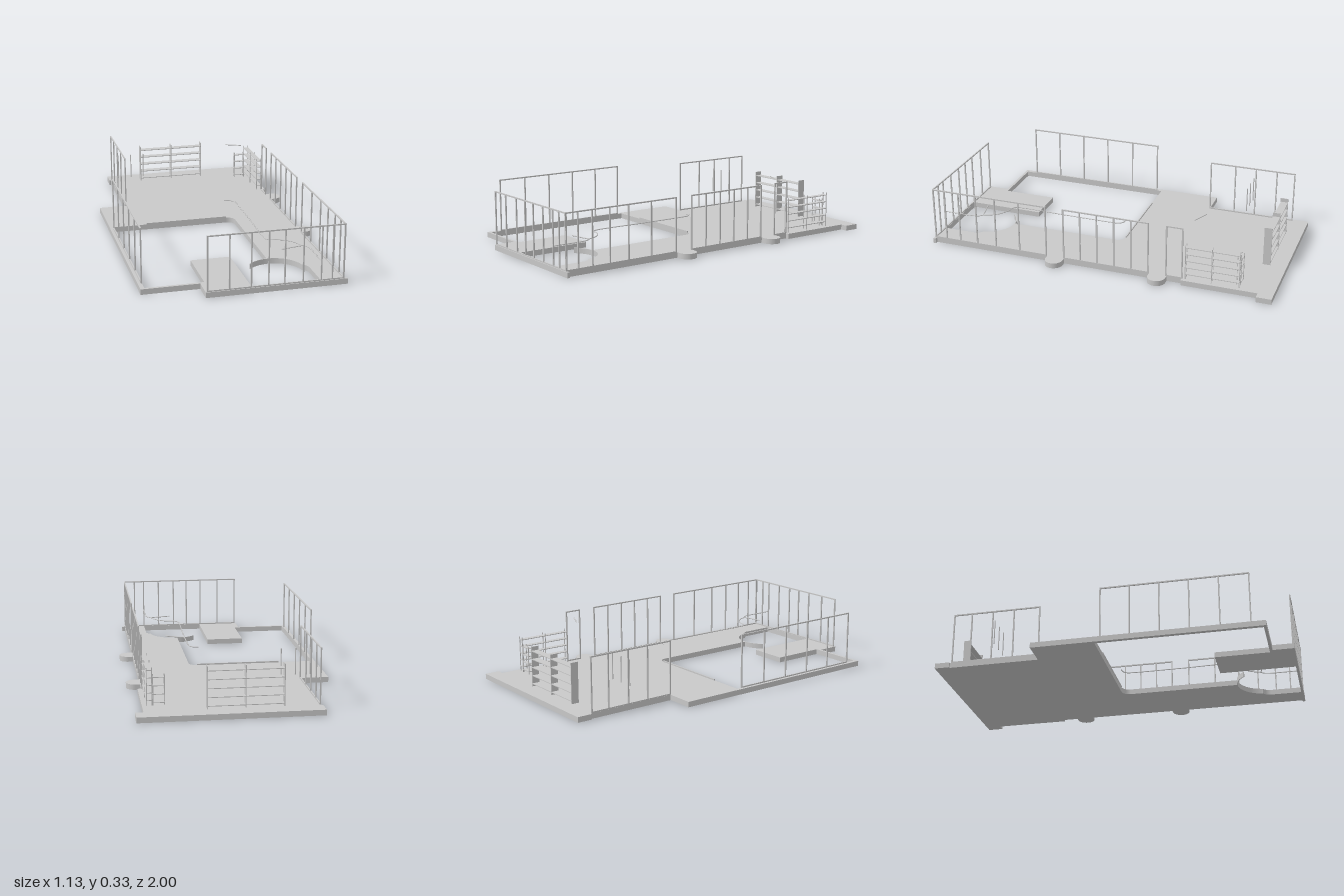
import * as THREE from 'three';

const grey = new THREE.MeshStandardMaterial({ color: 0xc8c8c8, side: THREE.DoubleSide });
grey.name = 'plain grey';
const FLOOR = 0.03, TOP = 0.333, PI = Math.PI;

export function createModel() {
  const model = new THREE.Group();

  const add = (parent, name, geometry) => {
    const mesh = new THREE.Mesh(geometry, grey);
    mesh.name = name;
    parent.add(mesh);
    return mesh;
  };
  const group = (name) => {
    const g = new THREE.Group();
    g.name = name;
    model.add(g);
    return g;
  };
  // Box given by its lower and upper limits on each axis
  const box = (parent, name, x0, x1, y0, y1, z0, z1) =>
    add(parent, name, new THREE.BoxGeometry(x1 - x0, y1 - y0, z1 - z0))
      .position.set((x0 + x1) / 2, (y0 + y1) / 2, (z0 + z1) / 2);
  // Plan shape (x, z) raised into a plate
  const plate = (parent, name, shape, bottom, top) => {
    const g = new THREE.ExtrudeGeometry(shape, { depth: top - bottom, bevelEnabled: false, curveSegments: 16 });
    g.rotateX(PI / 2).translate(0, top, 0);
    return add(parent, name, g);
  };

  // Floor slab with round bays on its left edge and the open well
  const slab = new THREE.Shape();
  slab.moveTo(-0.42, -1);
  slab.lineTo(0.55, -1);
  slab.lineTo(0.55, -0.915);
  slab.lineTo(0.508, -0.915);
  slab.lineTo(0.508, -0.49);
  slab.lineTo(0.487, -0.49);
  for (const z of [-0.355, 0.245]) {
    slab.lineTo(0.487, z - 0.05);
    slab.absarc(0.513, z, 0.05, -PI / 2, PI / 2, false);
    slab.lineTo(0.487, z + 0.05);
  }
  for (const [x, z] of [[0.487, 0.985], [0.505, 0.985], [0.505, 1], [-0.255, 1], [-0.255, 0.88], [-0.567, 0.88],
    [-0.567, -0.4], [-0.41, -0.4], [-0.41, -0.915], [-0.42, -0.915]]) slab.lineTo(x, z);
  const well = new THREE.Path();
  well.moveTo(-0.545, -0.045);
  well.lineTo(0.13, -0.045);
  well.absarc(0.13, 0, 0.045, -PI / 2, 0, false);
  well.lineTo(0.175, 0.635);
  well.absarc(0.18, 0.79, 0.155, -1.6, -0.2, false);
  well.absarc(0.31, 0.81, 0.05, -1.1, 0, false);
  for (const [x, z] of [[0.36, 0.987], [-0.01, 0.987], [-0.01, 0.56], [-0.23, 0.56], [-0.23, 0.865], [-0.545, 0.865]])
    well.lineTo(x, z);
  slab.holes.push(well);
  plate(model, 'floorSlab', slab, 0, FLOOR);

  // Curved stair edge carrying on past the slab
  const arc = new THREE.Shape();
  arc.absarc(0.18, 0.79, 0.157, -2.4, -1.6, false);
  arc.absarc(0.18, 0.79, 0.152, -1.6, -2.4, true);
  plate(model, 'stairEdge', arc, 0, FLOOR);
  box(model, 'wellKerb', -0.35, 0.13, FLOOR, 0.038, -0.05, -0.044);

  // Glazing frames: sill, head and mullions along one axis
  const frame = (name, axis, fixed, stops) => {
    const g = group(name), h = 0.0035;
    const min = Math.min(...stops) - h, max = Math.max(...stops) + h;
    const bar = (part, a, b, y0, y1) => axis === 'x'
      ? box(g, part, a, b, y0, y1, fixed - h, fixed + h)
      : box(g, part, fixed - h, fixed + h, y0, y1, a, b);
    bar('sill', min, max, FLOOR, FLOOR + 0.007);
    bar('head', min, max, TOP - 0.007, TOP);
    for (const s of stops) bar('mullion', s - h, s + h, FLOOR, TOP);
  };
  const even = (a, b, n) => Array.from({ length: n + 1 }, (_, i) => a + (b - a) * i / n);
  frame('frontGlazingFrame', 'x', 0.992, [-0.245, -0.13, -0.015, 0.077, 0.163, 0.262, 0.36, 0.42, 0.482]);
  frame('leftFrontGlazingFrame', 'z', 0.484, [0.99, 0.92, 0.834, 0.727, 0.61, 0.465, 0.302]);
  frame('leftMiddleGlazingFrame', 'z', 0.484, even(0.197, -0.297, 5));
  frame('leftBackGlazingFrame', 'z', 0.484, [-0.4, -0.49]);
  frame('rightFrontGlazingFrame', 'z', -0.547, even(0.8, -0.016, 5));
  frame('rightBackGlazingFrame', 'z', -0.406, [-0.4, -0.55, -0.675, -0.8, -0.905]);

  // Handrail around the well, over the stair and up to the front glazing
  const rail = [[0.12, -0.045], [0.15, -0.04], [0.17, -0.02], [0.175, 0.02], [0.175, 0.3], [0.175, 0.62]];
  for (let a = -1.5; a < -0.2; a += 0.25) rail.push([0.18 + 0.155 * Math.cos(a), 0.79 + 0.155 * Math.sin(a)]);
  rail.push([0.352, 0.78], [0.36, 0.82], [0.36, 0.9], [0.36, 0.99]);
  const tube = (name, points, r, n) => add(model, name, new THREE.TubeGeometry(
    new THREE.CatmullRomCurve3(points.map(([x, y, z]) => new THREE.Vector3(x, y, z)), false, 'centripetal'), n, r, 6));
  tube('handrail', rail.map(([x, z]) => [x, 0.138, z]), 0.003, 100);
  tube('stairRail', [[0.21, 0.138, 0.785], [0.33, 0.138, 0.76]], 0.003, 1);
  tube('doorHeadRod', [[0.265, 0.325, -0.56], [0.355, 0.325, -0.52]], 0.003, 1);

  // Back bookcase: three uprights and five shelves
  const bookcase = group('backBookcase');
  for (const x of [-0.22, -0.018, 0.18])
    box(bookcase, 'upright', x - 0.002, x + 0.002, FLOOR, 0.255, -0.91, -0.866);
  for (const y of [0.045, 0.091, 0.138, 0.185, 0.231])
    box(bookcase, 'shelf', -0.22, 0.18, y - 0.002, y + 0.002, -0.91, -0.868);

  // Corner shelving: a long run beside the left edge and a short return
  const corner = group('cornerShelving');
  for (const z of [-0.508, -0.655, -0.808])
    for (const x of [0.456, 0.483])
      box(corner, 'post', x - 0.002, x + 0.002, FLOOR, 0.233, z - 0.002, z + 0.002);
  for (const y of [0.058, 0.098, 0.138, 0.178, 0.218])
    box(corner, 'shelf', 0.455, 0.485, y - 0.002, y + 0.002, -0.81, -0.505);
  for (const x of [0.39, 0.45])
    for (const z of [-0.808, -0.787])
      box(corner, 'returnPost', x - 0.002, x + 0.002, FLOOR, 0.193, z - 0.002, z + 0.002);
  for (const y of [0.045, 0.09, 0.135, 0.18])
    box(corner, 'returnShelf', 0.388, 0.455, y - 0.002, y + 0.002, -0.81, -0.785);

  // Three slim hanging lamps
  for (const x of [-0.402, -0.323, -0.245])
    add(model, 'pendantLamp', new THREE.CylinderGeometry(0.003, 0.003, 0.145, 8)).position.set(x, 0.2, -0.663);

  return model;
}
